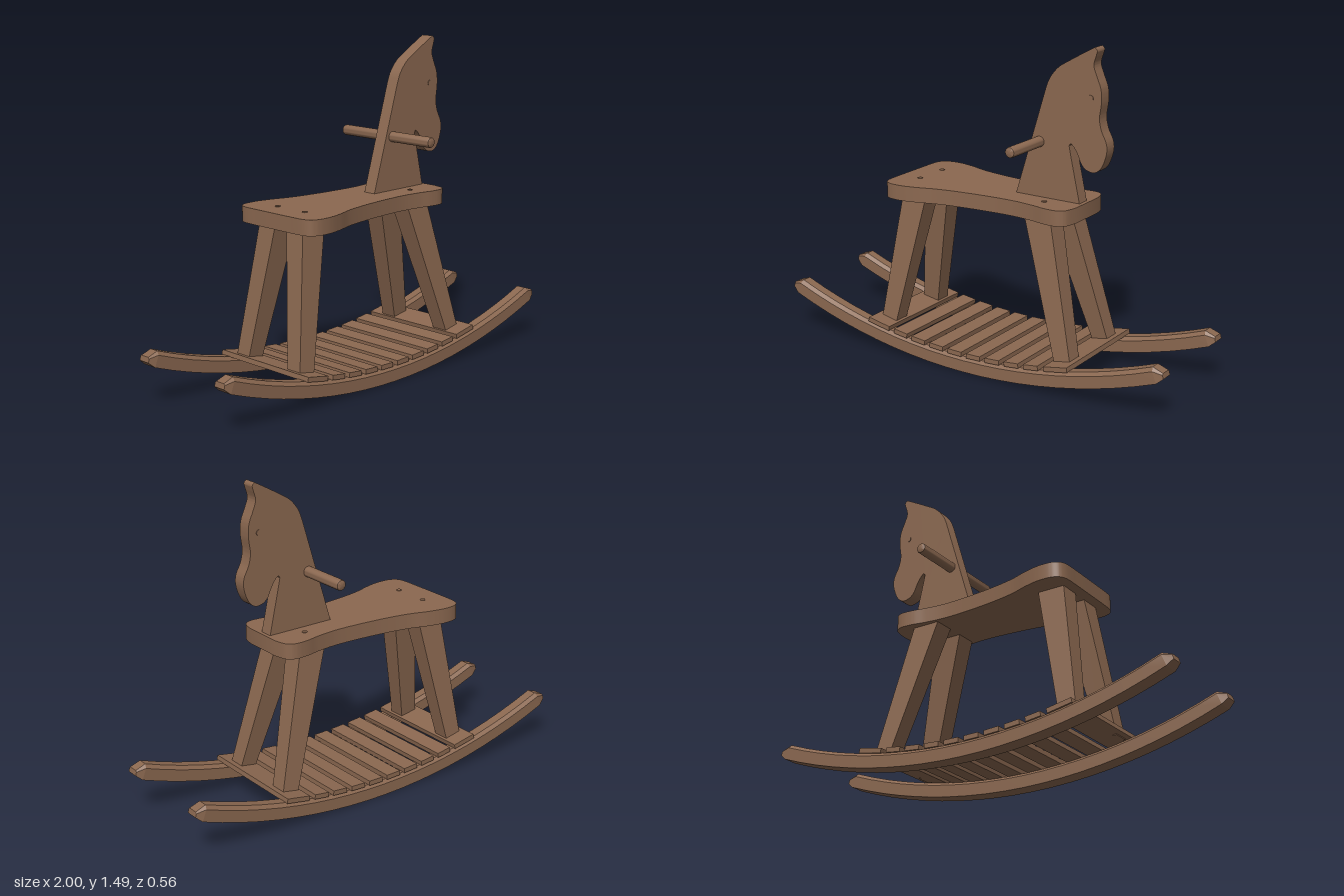
import * as THREE from 'three';
import { toCreasedNormals } from 'three/addons/utils/BufferGeometryUtils.js';

const wood = new THREE.MeshStandardMaterial({ color: 0x8b6850 });
wood.name = 'brown wood';

function add(parent, name, geometry, x = 0, y = 0, z = 0) {
  const mesh = new THREE.Mesh(geometry, wood);
  mesh.name = name;
  mesh.position.set(x, y, z);
  parent.add(mesh);
  return mesh;
}

// Skins a row of equal loops of [x, y, z] points and caps both ends.
function loft(sections) {
  const pos = [];
  const n = sections[0].length;
  const tri = (a, b, c) => pos.push(...a, ...b, ...c);
  for (let k = 0; k < sections.length - 1; k++) {
    const s = sections[k], t = sections[k + 1];
    for (let i = 0; i < n; i++) {
      const j = (i + 1) % n;
      tri(s[i], s[j], t[j]);
      tri(s[i], t[j], t[i]);
    }
  }
  const first = sections[0], last = sections[sections.length - 1];
  for (let i = 1; i < n - 1; i++) {
    tri(first[0], first[i + 1], first[i]);
    tri(last[0], last[i], last[i + 1]);
  }
  const g = new THREE.BufferGeometry();
  g.setAttribute('position', new THREE.Float32BufferAttribute(pos, 3));
  return toCreasedNormals(g, 0.2);
}

const R = 2.7;        // rocker bottom radius
const THICK = 0.07;   // rocker height

// Curved runner with chamfered top edges and blunted tips
function rockerGeometry() {
  const half = 0.0375, bevel = 0.015;
  const section = (xb, yb, xt, yt, w, c) => {
    const xm = xt + (xb - xt) * c / THICK, ym = yt - c;
    return [
      [xb, yb, -w], [xm, ym, -w], [xt, yt, -w + c],
      [xt, yt, w - c], [xm, ym, w], [xb, yb, w],
    ];
  };
  const sections = [section(-0.998, 0.205, -0.993, 0.228, half - 0.008, 0.006)];
  const end = Math.asin(0.944 / (R - THICK)), steps = 20;
  for (let i = 0; i <= steps; i++) {
    const a = -end + 2 * end * i / steps;
    const s = Math.sin(a), c = Math.cos(a);
    sections.push(section(R * s, R - R * c, (R - THICK) * s, R - (R - THICK) * c, half, bevel));
  }
  sections.push(section(0.998, 0.205, 0.993, 0.228, half - 0.008, 0.006));
  return loft(sections);
}

// Tapered square leg, ranges given as [min, max]
function legGeometry(xBottom, xTop, zBottom, zTop) {
  const ring = (y, [x0, x1], [z0, z1]) => [[x0, y, z0], [x0, y, z1], [x1, y, z1], [x1, y, z0]];
  return loft([ring(0.115, xBottom, zBottom), ring(0.735, xTop, zTop)]);
}

function extrude(shape, depth) {
  const g = new THREE.ExtrudeGeometry(shape, { depth, bevelEnabled: false, curveSegments: 8 });
  return toCreasedNormals(g, 0.5);
}

const vectors = (list) => list.map(([x, y]) => new THREE.Vector2(x, y));

export function createModel() {
  const horse = new THREE.Group();
  horse.name = 'rockingHorse';

  // Rockers
  const rocker = rockerGeometry();
  for (const side of [1, -1]) {
    add(horse, side > 0 ? 'leftRocker' : 'rightRocker', rocker, 0, 0, side * 0.2415);
  }

  // Foot slats following the curve, wide ones under the legs
  const slats = new THREE.Group();
  slats.name = 'footSlats';
  horse.add(slats);
  for (let i = 0; i < 10; i++) {
    const wide = i === 0 || i === 9;
    const x = wide ? (i ? 0.48 : -0.48) : (i - 4.5) * 0.1014;
    const r = R - THICK - 0.01;
    const a = Math.asin(x / r);
    const slat = add(slats, 'slat', new THREE.BoxGeometry(wide ? 0.12 : 0.074, 0.022, 0.55),
      x, R - r * Math.cos(a), 0);
    slat.rotation.z = a;
  }

  // Splayed legs
  for (const side of [1, -1]) {
    const zRange = (a, b) => (side > 0 ? [a, b] : [-b, -a]);
    const zBottom = zRange(0.126, 0.203), zTop = zRange(0.035, 0.135);
    add(horse, 'backLeg', legGeometry([-0.518, -0.435], [-0.43, -0.302], zBottom, zTop));
    add(horse, 'frontLeg', legGeometry([0.432, 0.514], [0.23, 0.362], zBottom, zTop));
  }

  // Waisted seat, half outline mirrored across the centre line
  const halfSeat = [
    [-0.478, 0.1], [-0.473, 0.19], [-0.44, 0.228], [-0.37, 0.235], [-0.29, 0.219], [-0.2, 0.19],
    [-0.08, 0.168], [0.06, 0.154], [0.18, 0.15], [0.28, 0.16], [0.35, 0.174], [0.41, 0.175],
    [0.447, 0.15], [0.462, 0.09],
  ];
  const mirrored = halfSeat.map(([x, z]) => [x, -z]).reverse();
  const seatShape = new THREE.Shape();
  seatShape.moveTo(...halfSeat[0]);
  seatShape.splineThru(vectors(halfSeat.slice(1)));
  seatShape.lineTo(...mirrored[0]);
  seatShape.splineThru(vectors(mirrored.slice(1)));
  seatShape.closePath();
  const seat = add(horse, 'seat', extrude(seatShape, 0.07), 0, 0.8, 0);
  seat.rotation.x = Math.PI / 2;

  // Dowel plugs above the legs
  const plug = new THREE.CylinderGeometry(0.012, 0.012, 0.006, 16);
  for (const x of [-0.37, 0.3]) {
    for (const z of [-0.085, 0.085]) add(horse, 'seatPlug', plug, x, 0.8, z);
  }

  // Flat head board: straight neck, curved crest, ear, face and jaw
  const head = new THREE.Shape();
  head.moveTo(0.445, 0.795);
  head.lineTo(0.394, 1.02);
  head.lineTo(0.388, 1.05);
  head.splineThru(vectors([
    [0.396, 1.06], [0.415, 1.043], [0.434, 1.012], [0.452, 0.975], [0.48, 0.953], [0.518, 0.95],
    [0.55, 0.978], [0.572, 1.038], [0.57, 1.085], [0.545, 1.138], [0.535, 1.19], [0.543, 1.257],
    [0.539, 1.315], [0.518, 1.367], [0.503, 1.412], [0.514, 1.455], [0.518, 1.475], [0.506, 1.488],
  ]));
  head.splineThru(vectors([[0.46, 1.463], [0.385, 1.42], [0.33, 1.385], [0.288, 1.335], [0.267, 1.285]]));
  head.lineTo(0.118, 0.795);
  head.closePath();
  add(horse, 'head', extrude(head, 0.062), 0, 0, -0.031);

  // Eyes
  const eye = new THREE.CylinderGeometry(0.014, 0.014, 0.006, 18);
  for (const side of [1, -1]) {
    add(horse, 'eye', eye, 0.49, 1.27, side * 0.031).rotation.x = Math.PI / 2;
  }

  // Handle bar with eased ends
  const handle = new THREE.LatheGeometry(vectors([
    [0, -0.268], [0.017, -0.268], [0.022, -0.265], [0.024, -0.258],
    [0.024, 0.258], [0.022, 0.265], [0.017, 0.268], [0, 0.268],
  ]), 24);
  add(horse, 'handle', toCreasedNormals(handle, 0.6), 0.238, 1.048, 0).rotation.x = Math.PI / 2;

  return horse;
}
